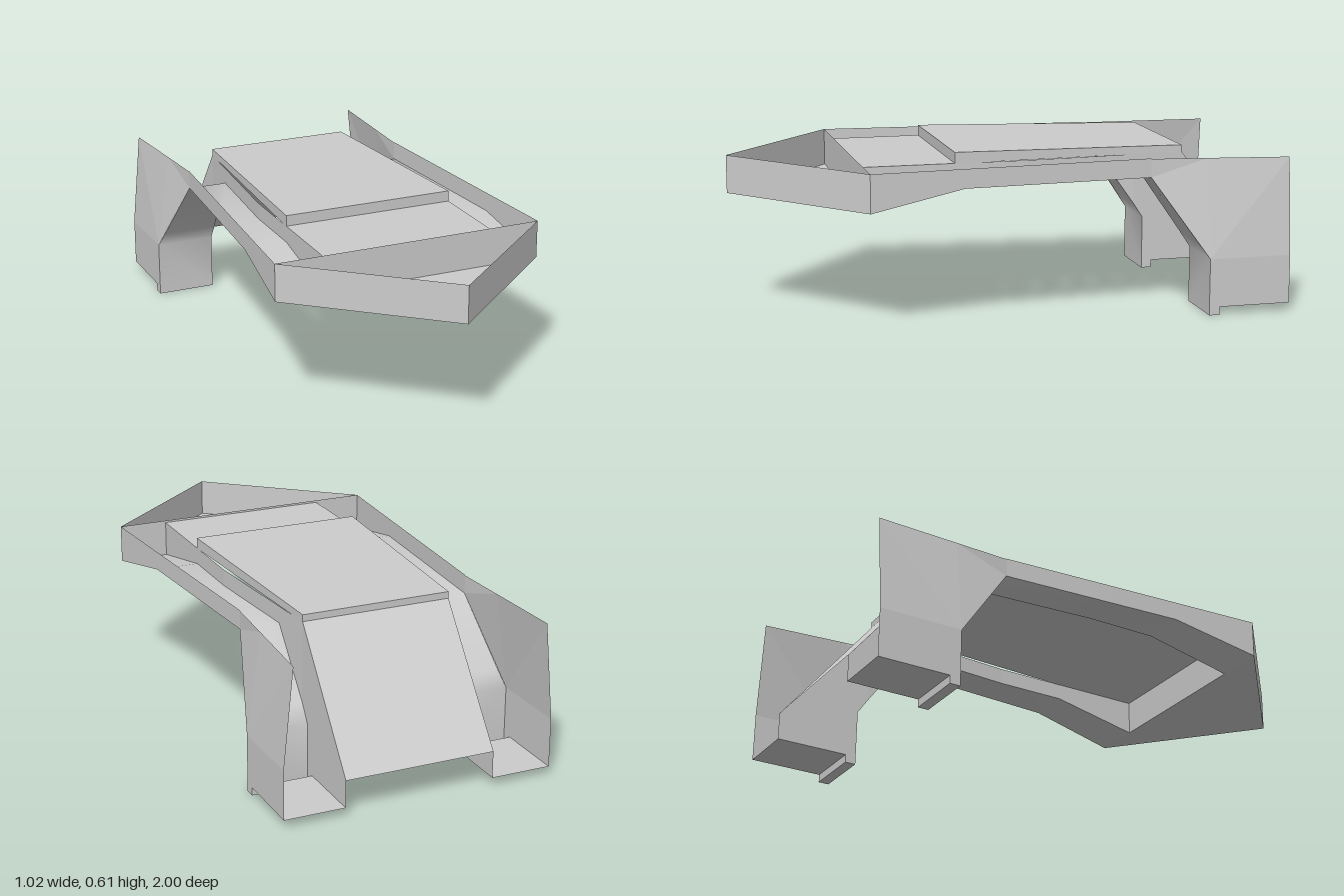
import * as THREE from 'three';

const material = (flat) => new THREE.MeshStandardMaterial({
  color: 0xcccccc, side: THREE.DoubleSide, flatShading: flat, roughness: 0.8,
});

// Surface stretched between two edge lines with matching points
function ribbon(name, edgeA, edgeB, flat = true) {
  const index = [];
  for (let i = 0; i < edgeA.length - 1; i++) {
    const a = 2 * i;
    index.push(a, a + 1, a + 2, a + 1, a + 3, a + 2);
  }
  const points = edgeA.flatMap((p, i) => [...p, ...edgeB[i]]);
  const geometry = new THREE.BufferGeometry();
  geometry.setAttribute('position', new THREE.Float32BufferAttribute(points, 3));
  geometry.setIndex(index);
  geometry.computeVertexNormals();
  const mesh = new THREE.Mesh(geometry, material(flat));
  mesh.name = name;
  return mesh;
}

// Half width of the inner channel at a given z
function innerX(z) {
  if (z > -0.05) return 0.325;
  return z < -0.65 ? 0.28 : 0.28 + 0.045 * (z + 0.65) / 0.6;
}

export function createModel() {
  const model = new THREE.Group();
  model.name = 'openHull';

  // Underside stations: z, y, outer half width
  const floor = [
    [0.56, 0.44, 0.51], [0.22, 0.51, 0.487], [-0.05, 0.51, 0.469],
    [-0.48, 0.51, 0.44], [-0.65, 0.27, 0.49], [-0.69, 0.21, 0.505], [-0.69, 0, 0.505],
  ];
  const foot = [[-0.69, 0, 0.505], [-0.73, 0, 0.505], [-0.73, 0.03, 0.505], [-1, 0.03, 0.505]];

  for (const s of [1, -1]) {
    const side = new THREE.Group();
    side.name = s > 0 ? 'leftSide' : 'rightSide';
    const strip = (name, list, flat) => ribbon(name,
      list.map(([z, y]) => [s * innerX(z), y, z]),
      list.map(([z, y, x]) => [s * x, y, z]), flat);

    // Side floor, leg front and foot sole
    side.add(strip('floorAndLegFront', floor, false));
    side.add(strip('footSole', foot, true));

    // Outer wall: from the nose to the start of the leg
    const wall = [[1, 0.44, 0], ...floor.slice(0, 4)];
    side.add(ribbon('outerWall',
      wall.map(([z, y, x]) => [s * x, 0.58, z]),
      wall.map(([z, y, x]) => [s * x, y, z])));

    // Leg wall: leaning upper part and upright lower part
    side.add(ribbon('legUpperWall',
      [[s * 0.44, 0.578, -0.48], [s * 0.452, 0.575, -0.69], [s * 0.47, 0.57, -1]],
      [[s * 0.44, 0.51, -0.48], [s * 0.505, 0.21, -0.69], [s * 0.505, 0.21, -1]]));
    side.add(ribbon('legLowerWall',
      foot.map(([z, , x]) => [s * x, 0.21, z]),
      foot.map(([z, y, x]) => [s * x, y, z])));

    // Inner wall, closing the channel up to the deck and rear ramp
    const inner = [...floor, ...foot.slice(1)];
    const deckY = (z) => (z >= -0.65 ? 0.572 : 0.572 + (z + 0.65) * 0.442 / 0.35);
    side.add(ribbon('innerWall',
      inner.map(([z]) => [s * innerX(z), deckY(z), z]),
      inner.map(([z, y]) => [s * innerX(z), y, z])));
    model.add(side);
  }

  // Pointed nose floor and the bulkhead behind it
  model.add(ribbon('noseFloor',
    [[-0.51, 0.44, 0.56], [0, 0.44, 1]], [[0.51, 0.44, 0.56], [0, 0.44, 1]]));
  model.add(ribbon('bulkhead',
    [[-0.51, 0.58, 0.56], [0.51, 0.58, 0.56]], [[-0.51, 0.44, 0.56], [0.51, 0.44, 0.56]]));

  // Front deck and rear ramp
  const across = (name, list) => ribbon(name,
    list.map(([z, y, x]) => [-x, y, z]), list.map(([z, y, x]) => [x, y, z]));
  model.add(across('frontDeck', [[0.56, 0.572, 0.325], [0.22, 0.572, 0.325]]));
  model.add(across('rearRamp', [[-0.65, 0.572, 0.28], [-1, 0.13, 0.28]]));

  // Raised cover plate, thinner and narrower toward the rear
  const plate = new THREE.BoxGeometry(2, 1, 0.87);
  const pos = plate.attributes.position;
  for (let i = 0; i < pos.count; i++) {
    const front = pos.getZ(i) > 0;
    const top = pos.getY(i) > 0;
    pos.setXYZ(i, pos.getX(i) * (front ? 0.325 : 0.28),
      top ? (front ? 0.612 : 0.597) : 0.571, front ? 0.22 : -0.65);
  }
  plate.computeVertexNormals();
  const cover = new THREE.Mesh(plate, material(true));
  cover.name = 'coverPlate';
  model.add(cover);

  return model;
}
